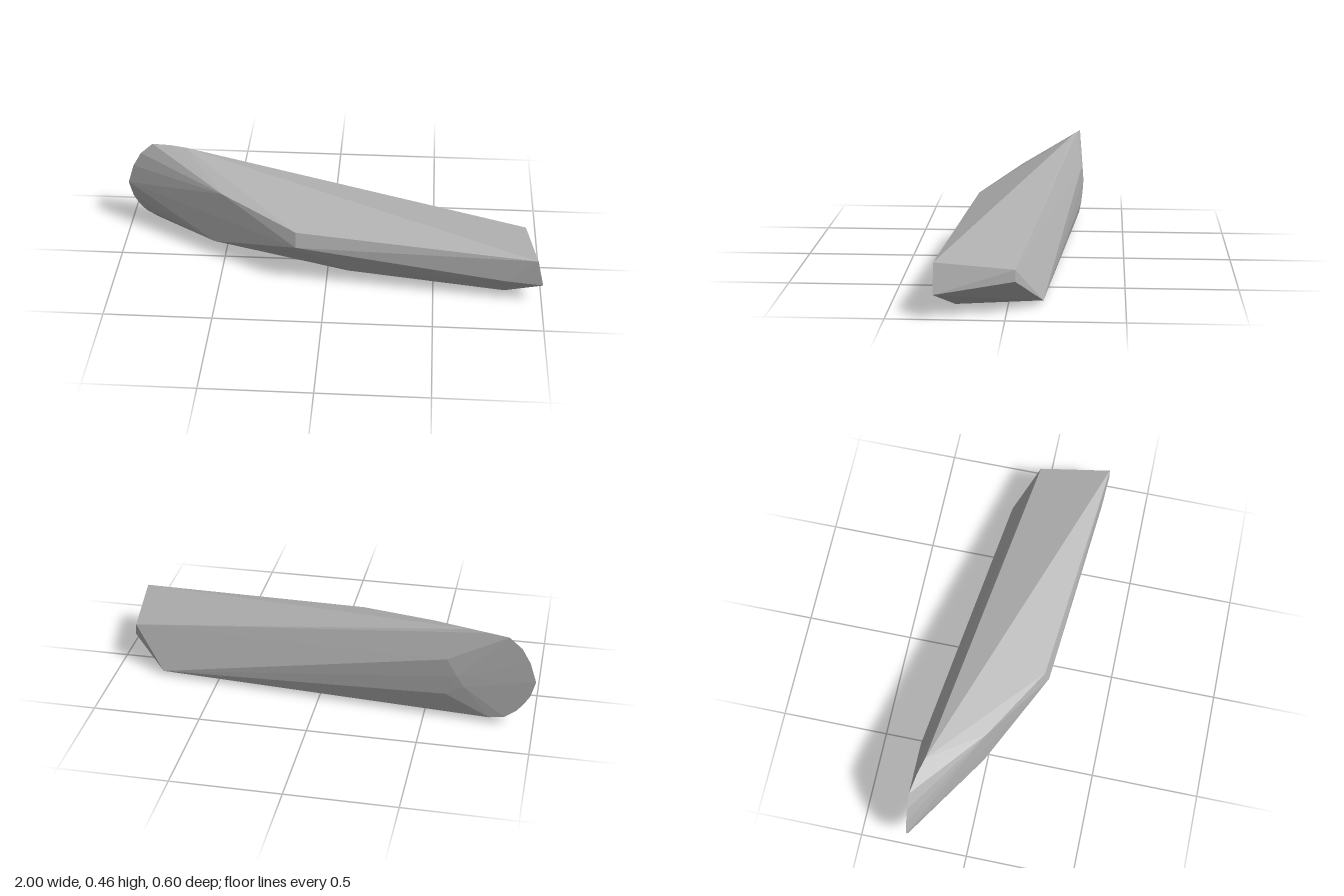
import * as THREE from 'three';
import { ConvexGeometry } from 'three/addons/geometries/ConvexGeometry.js';

const stoneGray = new THREE.MeshStandardMaterial({ color: 0xb0b0b0 });
stoneGray.name = 'stoneGray';

// Corners of the blunt, angular end
const bluntEnd = [
  [1, 0.107, 0.297], [0.97, 0.238, 0.297], [0.93, 0.2, -0.04], [0.935, 0.15, -0.04],
  [0.77, 0.022, -0.15], [0.83, 0.018, 0.22], [0.83, 0.118, 0.29],
];

// Ridge corners along the front and the underside
const middle = [
  [-0.14, 0.21, 0.215], [-0.14, 0.28, 0.195], [-0.5, 0.352, 0],
  [-0.55, 0.08, -0.01], [0.1, 0.034, 0.13], [-0.5, 0.001, -0.175],
];

// Rounded rim of the thin end
const roundedEnd = [
  [-0.7, 0.458, -0.24], [-0.78, 0.458, -0.26], [-0.87, 0.453, -0.275],
  [-0.93, 0.4, -0.273], [-0.97, 0.33, -0.272], [-1, 0.235, -0.271],
  [-0.98, 0.16, -0.27], [-0.95, 0.11, -0.268], [-0.92, 0.075, -0.271],
  [-0.87, 0.04, -0.275], [-0.8, 0.03, -0.276], [-0.88, 0.13, -0.23],
];

// Slight bulge on the back
const backBulge = [
  [-0.65, 0.24, -0.298], [-0.68, 0.19, -0.296], [-0.6, 0.32, -0.29], [-0.6, 0.14, -0.29],
];

export function createModel() {
  const group = new THREE.Group();
  group.name = 'stone';
  const corners = [...bluntEnd, ...middle, ...roundedEnd, ...backBulge]
    .map((p) => new THREE.Vector3(...p));
  // Faceted convex body stretched over the corners
  const body = new THREE.Mesh(new ConvexGeometry(corners), stoneGray);
  body.name = 'stoneBody';
  group.add(body);
  return group;
}
